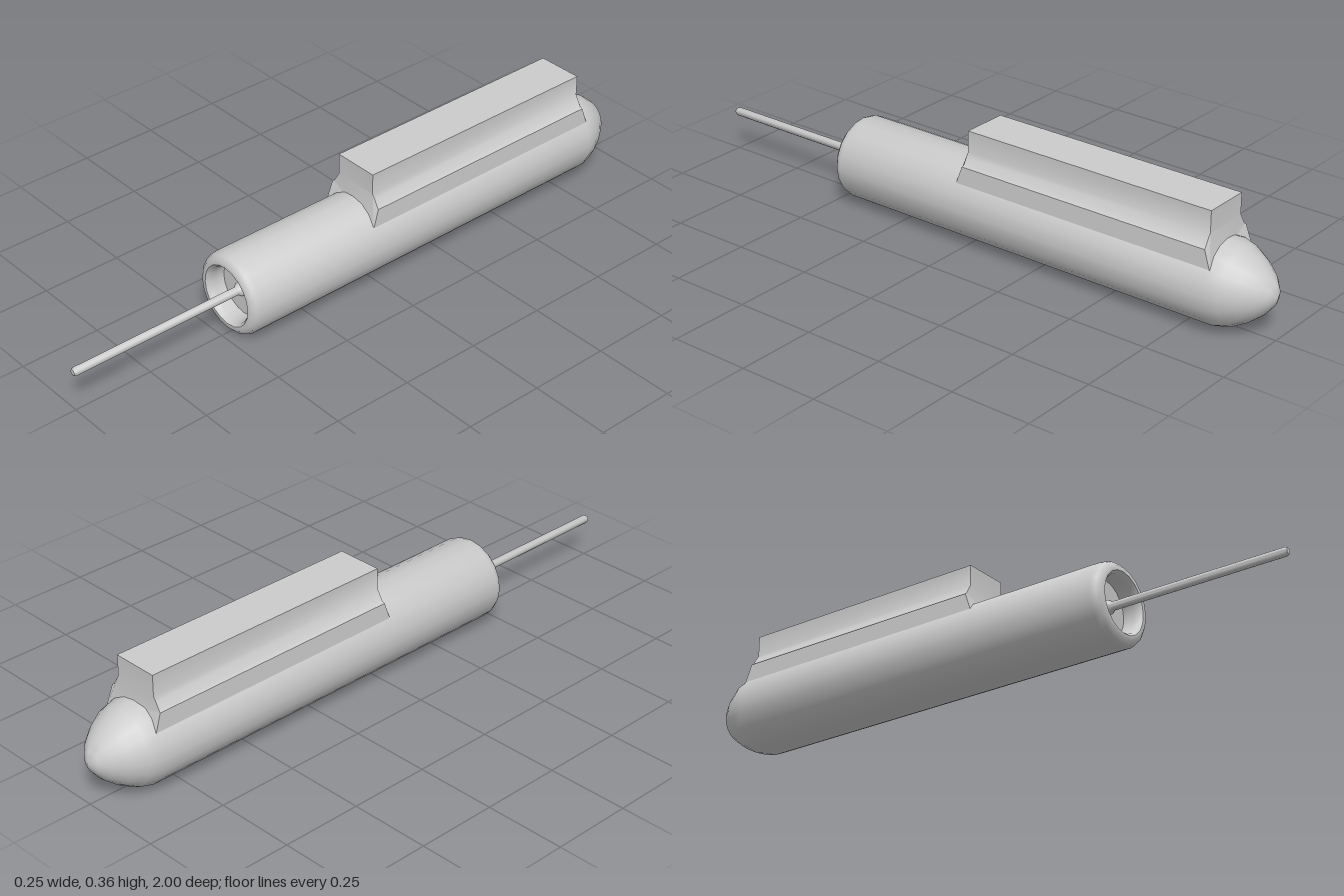
import * as THREE from 'three';
import { toCreasedNormals } from 'three/addons/utils/BufferGeometryUtils.js';

const AXIS_Y = 0.128;
const material = new THREE.MeshStandardMaterial({ color: 0xcccccc });

// Turned part along z; profile is [radius, z] running outside from back to front
function turned(name, profile, sides) {
  const points = profile.map(([r, z]) => new THREE.Vector2(r, z));
  const geometry = new THREE.LatheGeometry(points, sides);
  geometry.rotateX(Math.PI / 2);
  geometry.translate(0, AXIS_Y, 0);
  const mesh = new THREE.Mesh(toCreasedNormals(geometry, 0.8), material);
  mesh.name = name;
  return mesh;
}

// Rail with flared foot, whose ends splay outwards below the shoulder
function mountingRail() {
  const half = [[0.103, 0.195], [0.1, 0.257], [0.093, 0.262], [0.082, 0.281], [0.073, 0.295], [0.073, 0.36]];
  const mirrored = half.map(([x, y]) => [-x, y]).reverse();
  const shape = new THREE.Shape([...half, ...mirrored].map(([x, y]) => new THREE.Vector2(x, y)));
  const length = 0.825;
  const geometry = new THREE.ExtrudeGeometry(shape, { depth: length, bevelEnabled: false });
  geometry.translate(0, 0, -length);

  const p = geometry.attributes.position;
  for (let i = 0; i < p.count; i++) {
    const splay = Math.max(0, 0.262 - p.getY(i)) * 0.35;
    p.setZ(i, p.getZ(i) + (p.getZ(i) > -length / 2 ? splay : -splay));
  }
  const mesh = new THREE.Mesh(toCreasedNormals(geometry, 0.65), material);
  mesh.name = 'mountingRail';
  return mesh;
}

export function createModel() {
  const model = new THREE.Group();
  model.name = 'pod';

  // Body: pointed nose at the back, rounded rim and recessed end at the front
  model.add(turned('body', [
    [0, -1], [0.032, -0.986], [0.062, -0.962], [0.092, -0.925], [0.116, -0.882], [0.127, -0.842],
    [0.127, 0.45], [0.121, 0.467], [0.108, 0.479], [0.095, 0.479], [0.087, 0.47],
    [0.085, 0.455], [0.085, 0.42], [0, 0.42],
  ], 20));

  // Rod with a flared collar at its root and a bevelled tip
  model.add(turned('rod', [
    [0.021, 0.419], [0.021, 0.432], [0.013, 0.442], [0.013, 0.993], [0.009, 1], [0, 1],
  ], 12));

  model.add(mountingRail());
  return model;
}
